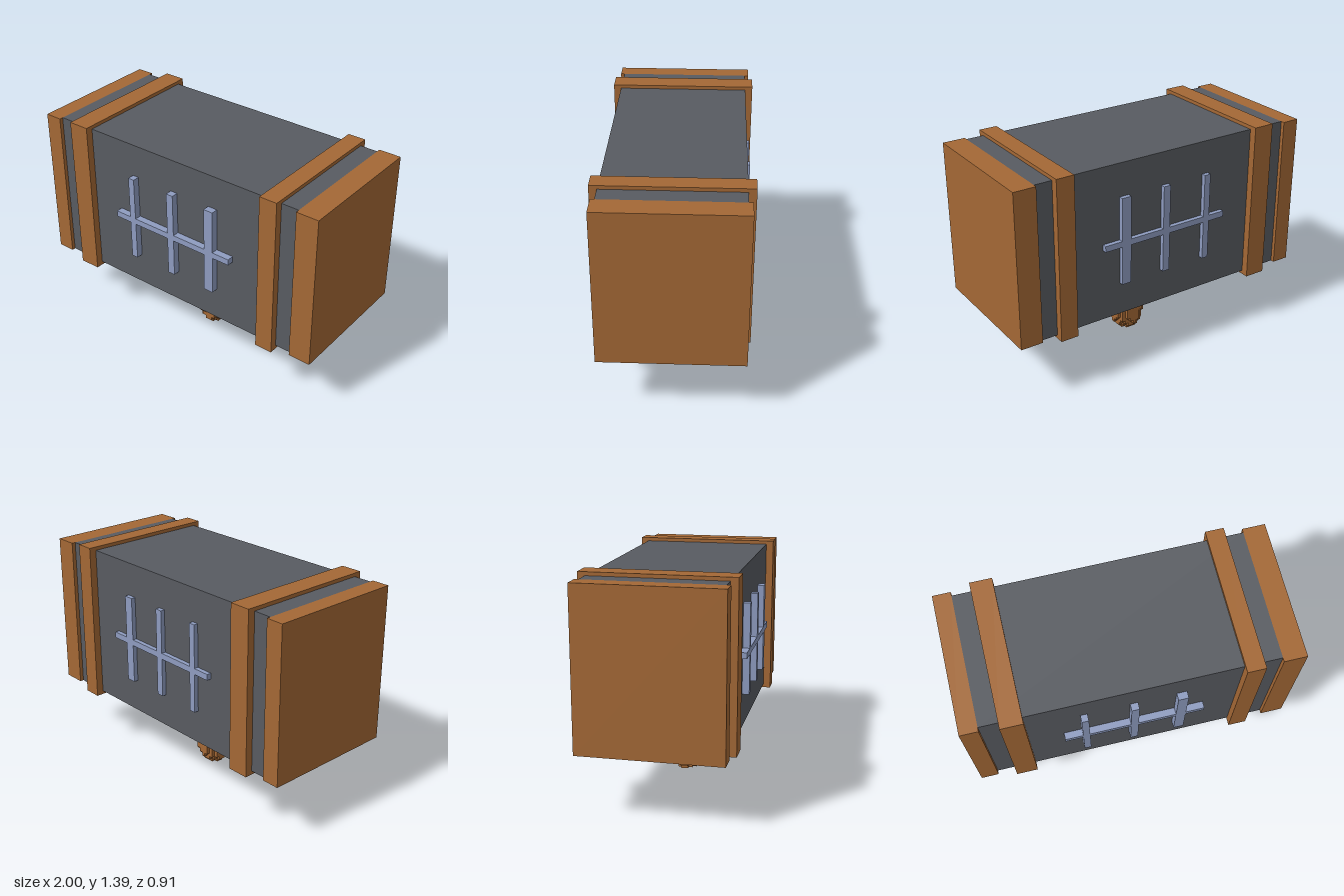
import * as THREE from 'three';
import { mergeGeometries } from 'three/addons/utils/BufferGeometryUtils.js';

const material = (name, color) => {
  const m = new THREE.MeshStandardMaterial({ color });
  m.name = name;
  return m;
};

// Box geometry given by its lower and upper limits on each axis
function span(x0, x1, y0, y1, z0, z1) {
  return new THREE.BoxGeometry(x1 - x0, y1 - y0, z1 - z0)
    .translate((x0 + x1) / 2, (y0 + y1) / 2, (z0 + z1) / 2);
}

// Stepped round grip: square columns on a fine grid, longer towards the middle
function gripGeometry(top) {
  const cell = top / 17;
  const radii = [2.5, 3.3, 3.85, 4, 4.25, 4.35, 4.45, 4.55, 4.65, 4.82, 4.9, 4.97, 5.04, 5.12, 5.25, 5.3, 5.35];
  const columns = [];
  for (let i = -6; i <= 4; i++) {
    for (let k = -6; k <= 4; k++) {
      const distance = Math.hypot(i + 0.8, k + 0.8);
      const layer = radii.findIndex((r) => r >= distance);
      if (layer < 0) continue;
      columns.push(span(i * cell, (i + 1) * cell, layer * cell, top, -(k + 1) * cell, -k * cell));
    }
  }
  return mergeGeometries(columns);
}

export function createModel() {
  const wood = material('brown wood', 0xa46835);
  const stone = material('dark grey stone', 0x585b61);
  const rune = material('pale blue inlay', 0x8e9cc0);
  const model = new THREE.Group();
  model.name = 'hammer';

  const add = (name, geometry, mat, parent = model) => {
    const mesh = new THREE.Mesh(geometry, mat);
    mesh.name = name;
    parent.add(mesh);
  };

  // Head block, end caps and raised bands
  const bottom = 0.39, top = 1.365;
  add('headBlock', span(-0.89, 0.86, bottom, top, -0.407, 0.407), stone);
  add('rightEndCap', span(-1, -0.89, bottom, top, -0.431, 0.431), wood);
  add('leftEndCap', span(0.86, 1, bottom, top, -0.431, 0.431), wood);
  add('rightBand', span(-0.775, -0.64, 0.367, 1.387, -0.453, 0.453), wood);
  add('leftBand', span(0.637, 0.75, 0.367, 1.387, -0.453, 0.453), wood);

  // Raised bars on the front and back faces
  const uprights = [[-0.32, -0.278], [-0.025, 0.022], [0.253, 0.315]];
  for (const [name, z0, z1] of [['frontInlay', 0.4, 0.45], ['backInlay', -0.435, -0.4]]) {
    const inlay = new THREE.Group();
    inlay.name = name;
    model.add(inlay);
    uprights.forEach(([x0, x1]) => add('upright', span(x0, x1, 0.6, 1.157, z0, z1), rune, inlay));
    // Crossbar pieces between the uprights
    const stops = [-0.43, ...uprights.flat(), 0.43];
    for (let i = 0; i < stops.length; i += 2) {
      add('crossbar', span(stops[i], stops[i + 1], 0.847, 0.885, z0, z1), rune, inlay);
    }
  }

  // Short grip below the head
  add('grip', gripGeometry(bottom), wood);
  return model;
}
